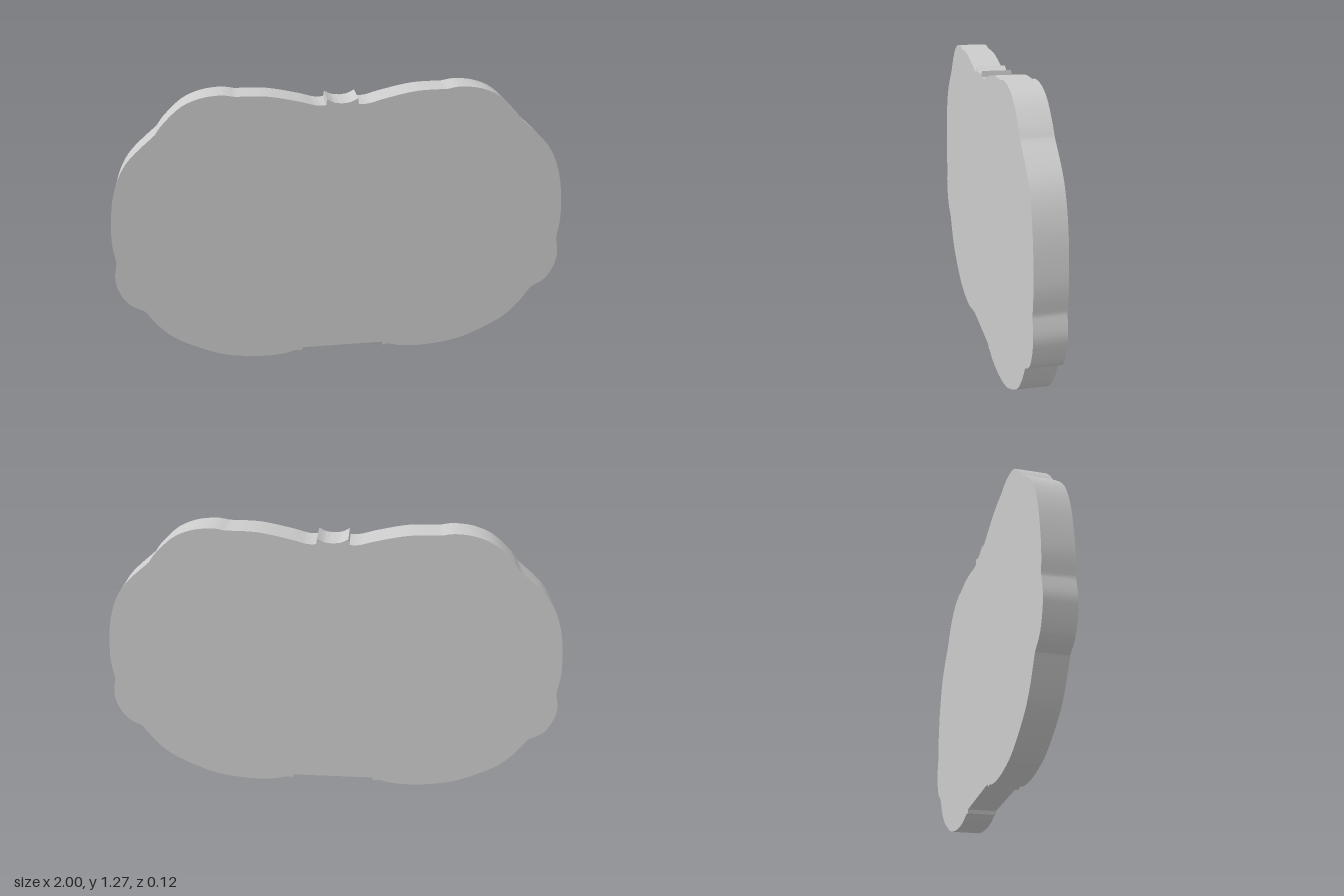
import * as THREE from 'three';
import { toCreasedNormals } from 'three/addons/utils/BufferGeometryUtils.js';

const THICKNESS = 0.125;

// Right half of the outline, bottom centre to top centre.
// Each run is smooth; runs meet at sharp corners.
const runs = [
  // flat underside and its small step
  [[0, 0.033], [0.187, 0.033]],
  [[0.187, 0.033], [0.192, 0.016]],
  // rounded lower lobe
  [[0.192, 0.016], [0.22, 0.02], [0.28, 0.006], [0.37, 0.001], [0.48, 0.011], [0.59, 0.038],
    [0.74, 0.113], [0.82, 0.183], [0.89, 0.283]],
  // side bump
  [[0.89, 0.283], [0.95, 0.32], [0.985, 0.378], [1, 0.45], [0.986, 0.533]],
  // large side curve
  [[0.986, 0.533], [0.994, 0.656], [0.967, 0.844], [0.9, 0.988], [0.772, 1.108]],
  // upper lobe
  [[0.772, 1.108], [0.735, 1.155], [0.66, 1.222], [0.58, 1.256], [0.497, 1.266], [0.44, 1.258]],
  // dip towards the top notch
  [[0.44, 1.258], [0.31, 1.254], [0.18, 1.228], [0.11, 1.209], [0.068, 1.208]],
  [[0.068, 1.208], [0.064, 1.233]],
  [[0.064, 1.233], [0.035, 1.218], [0, 1.213]],
];

function halfOutline() {
  return runs.flatMap((run) => {
    const points = run.map(([x, y]) => new THREE.Vector2(x, y));
    const sampled = run.length > 2
      ? new THREE.SplineCurve(points).getPoints((run.length - 1) * 6)
      : points;
    return sampled.slice(0, -1);
  });
}

export function createModel() {
  const group = new THREE.Group();
  group.name = 'plaque';

  // Mirror the half outline to close the silhouette
  const right = halfOutline();
  const top = new THREE.Vector2(0, 1.213);
  const left = right.slice(1).reverse().map((p) => new THREE.Vector2(-p.x, p.y));
  const shape = new THREE.Shape([...right, top, ...left]);

  const geometry = new THREE.ExtrudeGeometry(shape, { depth: THICKNESS, bevelEnabled: false });
  geometry.translate(0, 0, -THICKNESS / 2);

  const slab = new THREE.Mesh(
    toCreasedNormals(geometry, 0.35),
    new THREE.MeshStandardMaterial({ color: 0xcccccc }),
  );
  slab.name = 'lobedSlab';
  group.add(slab);
  return group;
}
